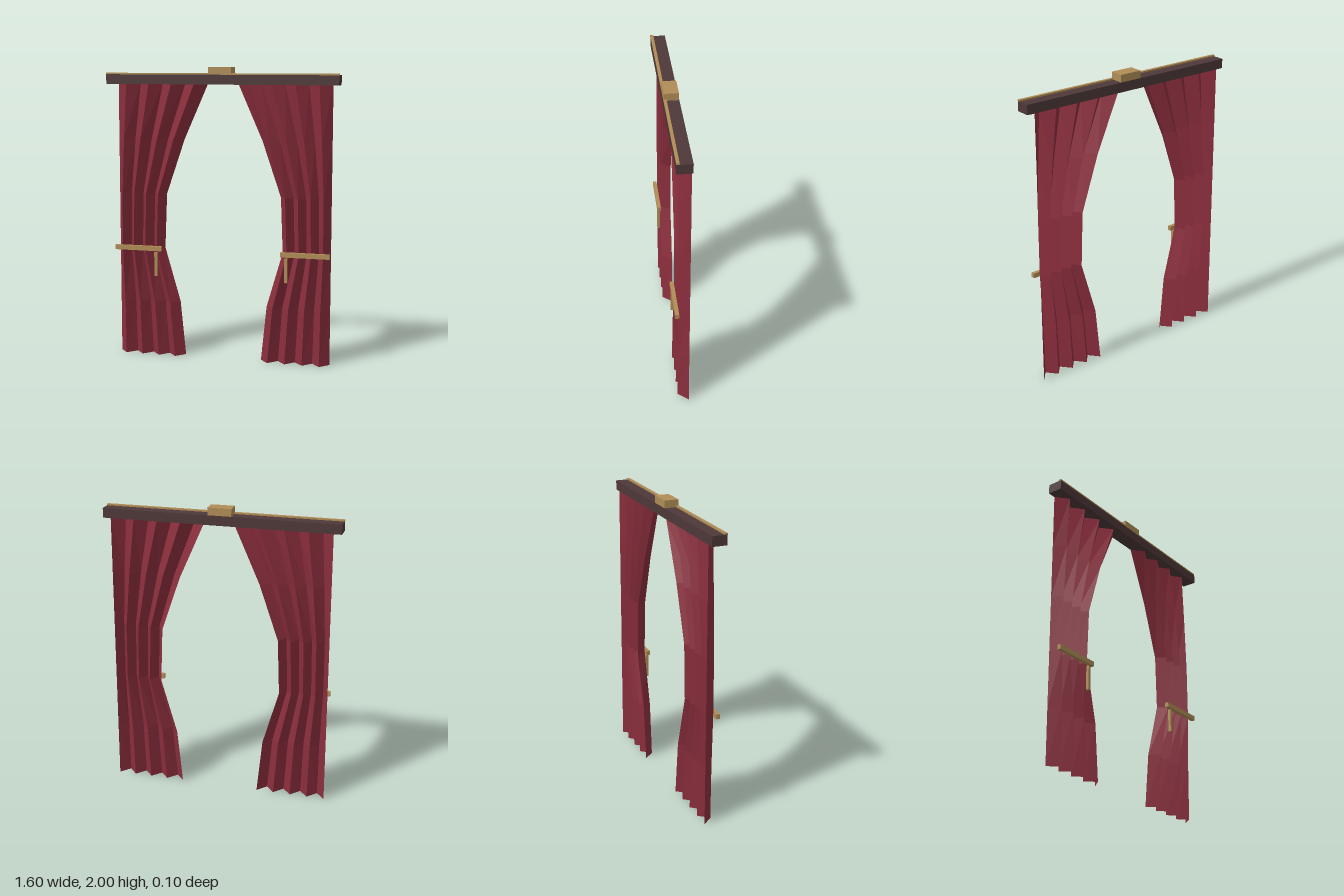
import * as THREE from 'three';

export function createModel() {
  const model = new THREE.Group();
  model.name = 'drapedCurtains';

  const material = (name, color, side = THREE.FrontSide) => {
    const m = new THREE.MeshStandardMaterial({ color, flatShading: true, side });
    m.name = name;
    return m;
  };
  const velvet = material('redVelvet', 0x8b2e3d, THREE.DoubleSide);
  const wood = material('darkWood', 0x4e3838);
  const gold = material('gold', 0xb08d57);

  // Box given by its limits on each axis
  const box = (name, mat, [x0, x1], [y0, y1], [z0, z1], parent = model) => {
    const mesh = new THREE.Mesh(new THREE.BoxGeometry(x1 - x0, y1 - y0, z1 - z0), mat);
    mesh.position.set((x0 + x1) / 2, (y0 + y1) / 2, (z0 + z1) / 2);
    mesh.name = name;
    parent.add(mesh);
  };

  // Rail across the top with its trim and centre block
  box('pelmet', wood, [-0.8, 0.8], [1.885, 1.95], [-0.05, 0.05]);
  box('pelmetTrim', gold, [-0.8, 0.8], [1.95, 1.96], [0.03, 0.05]);
  box('centreBlock', gold, [-0.08, 0.08], [1.95, 2], [-0.048, 0.048]);

  // Pleated sheet: straight outer edge, inner edge gathered at the tieback
  const outer = 0.747, height = 1.888, folds = 8;
  const innerEdge = [0.27, 0.308, 0.417, 0.402, 0.273, 0.106]; // bottom to top
  const rows = innerEdge.length - 1;

  const curtainGeometry = (side) => {
    const geo = new THREE.PlaneGeometry(1, 1, folds, rows);
    const pos = geo.attributes.position;
    for (let i = 0; i < pos.count; i++) {
      const col = i % (folds + 1);
      const row = rows - Math.floor(i / (folds + 1));
      const t = side > 0 ? col / folds : 1 - col / folds; // 0 inner, 1 outer
      const x = THREE.MathUtils.lerp(innerEdge[row], outer, t);
      pos.setXYZ(i, side * x, (row / rows) * height, col % 2 ? 0.021 : -0.048);
    }
    const flat = geo.toNonIndexed();
    flat.computeVertexNormals();
    return flat;
  };

  for (const [label, side] of [['left', 1], ['right', -1]]) {
    const group = new THREE.Group();
    group.name = label + 'Drape';
    const span = (a, b) => (side > 0 ? [a, b] : [-b, -a]);

    const curtain = new THREE.Mesh(curtainGeometry(side), velvet);
    curtain.name = label + 'Curtain';
    group.add(curtain);

    // Tieback bar and hanging tassel
    box(label + 'Tieback', gold, span(0.419, 0.752), [0.742, 0.774], [0.021, 0.047], group);
    box(label + 'Tassel', gold, span(0.448, 0.468), [0.568, 0.732], [0.025, 0.045], group);
    model.add(group);
  }

  return model;
}
